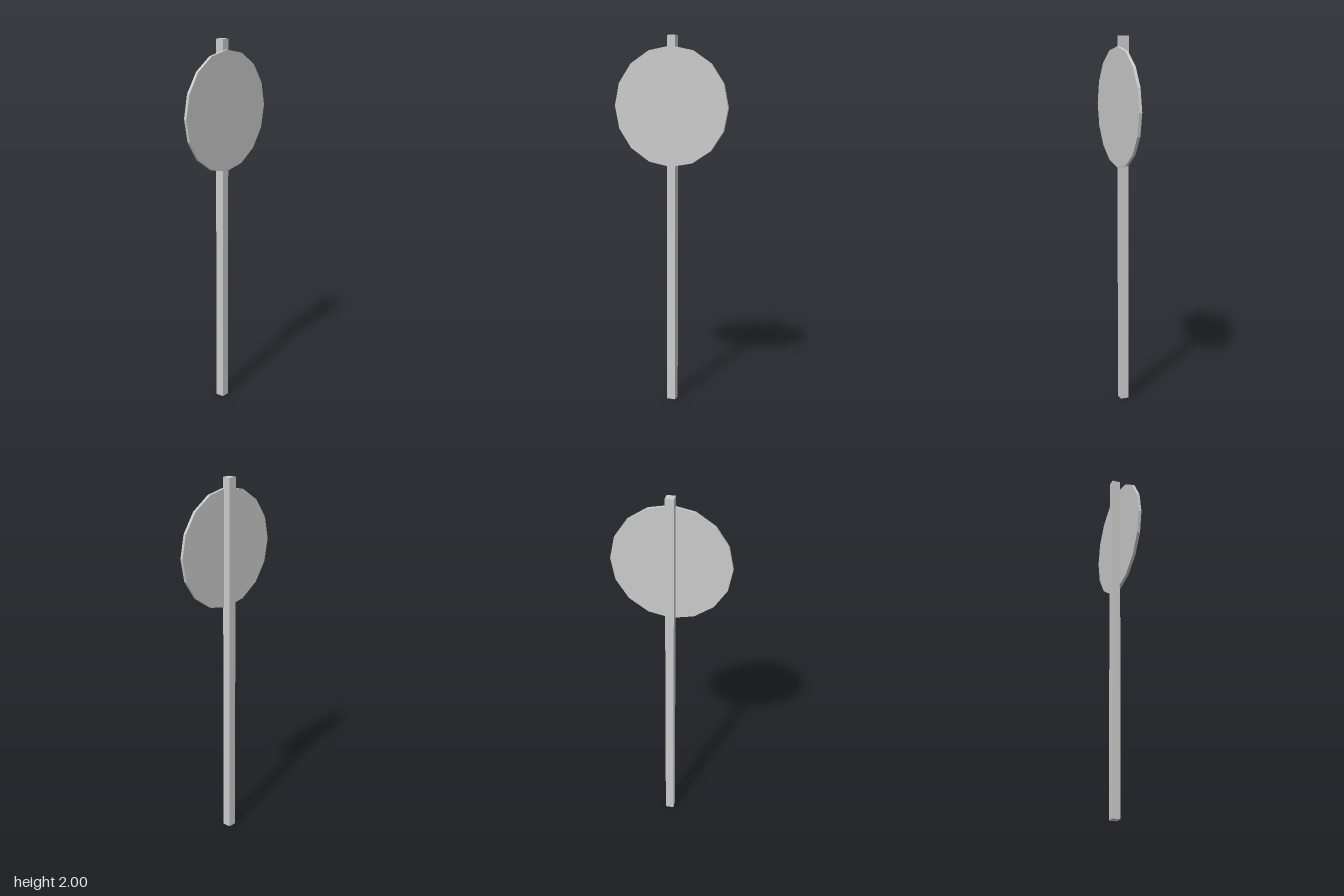
import * as THREE from 'three';

export function createModel() {
  const group = new THREE.Group();
  const material = new THREE.MeshStandardMaterial({ color: 0xcccccc, flatShading: true });

  // Square post, running the full height behind the disc
  const post = new THREE.Mesh(new THREE.BoxGeometry(0.046, 2, 0.046), material);
  post.name = 'post';
  post.position.set(0, 1, -0.005);
  group.add(post);

  // Thin sixteen-sided sign disc, let slightly into the front of the post
  const discGeometry = new THREE.CylinderGeometry(0.319, 0.319, 0.016, 16);
  discGeometry.rotateX(Math.PI / 2);
  const disc = new THREE.Mesh(discGeometry, material);
  disc.name = 'signDisc';
  disc.position.set(0, 1.626, 0.02);
  group.add(disc);

  return group;
}
